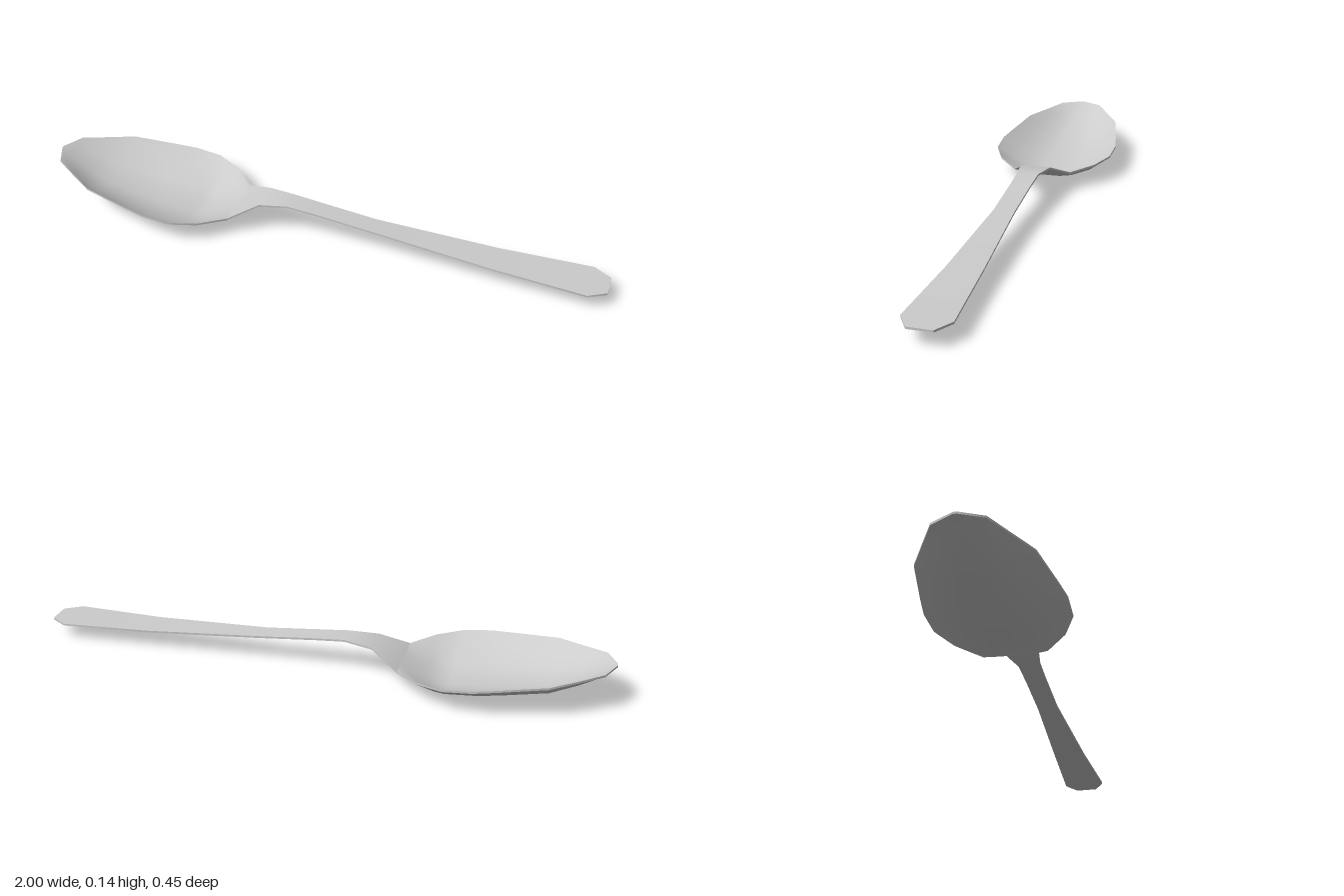
import * as THREE from 'three';
import { toCreasedNormals } from 'three/addons/utils/BufferGeometryUtils.js';

const THICK = 0.007;
const ACROSS = [-1, -0.74, -0.4, -0.18, 0.18, 0.4, 0.74, 1];

// Each station: [x, half width, height of the edge, height of the underside at the middle]
const BOWL = [
  [-1, 0.006, 0.143, 0.136],
  [-0.965, 0.08, 0.141, 0.118],
  [-0.89, 0.126, 0.132, 0.076],
  [-0.8, 0.18, 0.123, 0.042],
  [-0.64, 0.212, 0.105, 0.017],
  [-0.565, 0.225, 0.097, 0.011],
  [-0.47, 0.222, 0.087, 0.002],
  [-0.435, 0.206, 0.083, 0],
  [-0.38, 0.18, 0.077, 0.02],
  [-0.3, 0.107, 0.068, 0.057],
];
const HANDLE = [
  [-0.3, 0.107, 0.068, 0.057],
  [-0.2, 0.055, 0.116, 0.109],
  [-0.1, 0.038, 0.123, 0.116],
  [0, 0.036, 0.114, 0.107],
  [0.2, 0.036, 0.094, 0.087],
  [0.62, 0.058, 0.068, 0.061],
  [0.94, 0.077, 0.061, 0.054],
  [1, 0.04, 0.06, 0.053],
];

// Closed thin shell lofted along x; each section is its top row then its bottom row
function loft(stations, capStart, capEnd) {
  const pos = [];
  const index = [];
  const n = ACROSS.length;
  const ring = 2 * n;
  const quad = (a, b, c, d) => index.push(a, b, c, a, c, d);
  for (const [x, w, rim, low] of stations) {
    const y = (u) => low + (rim - THICK - low) * Math.abs(u) ** 2.3;
    for (const u of ACROSS) pos.push(x, y(u) + THICK, u * w);
    for (const u of [...ACROSS].reverse()) pos.push(x, y(u), u * w);
  }
  for (let i = 0; i < stations.length - 1; i++) {
    for (let j = 0; j < ring; j++) {
      const a = i * ring + j;
      const b = i * ring + ((j + 1) % ring);
      quad(a, b, b + ring, a + ring);
    }
  }
  // End faces join the top row to the bottom row
  const last = (stations.length - 1) * ring;
  for (let j = 0; j < n - 1; j++) {
    const k = ring - 1 - j;
    if (capStart) quad(j, k, k - 1, j + 1);
    if (capEnd) quad(last + j, last + j + 1, last + k - 1, last + k);
  }
  const geo = new THREE.BufferGeometry();
  geo.setAttribute('position', new THREE.Float32BufferAttribute(pos, 3));
  geo.setIndex(index);
  return toCreasedNormals(geo, 0.75);
}

export function createModel() {
  const group = new THREE.Group();
  group.name = 'spoon';
  const material = new THREE.MeshStandardMaterial({ color: 0xcccccc });

  // Deep pointed bowl
  const bowl = new THREE.Mesh(loft(BOWL, true, false), material);
  bowl.name = 'bowl';

  // Raised neck and thin flaring handle
  const handle = new THREE.Mesh(loft(HANDLE, false, true), material);
  handle.name = 'handle';

  group.add(bowl, handle);
  return group;
}
